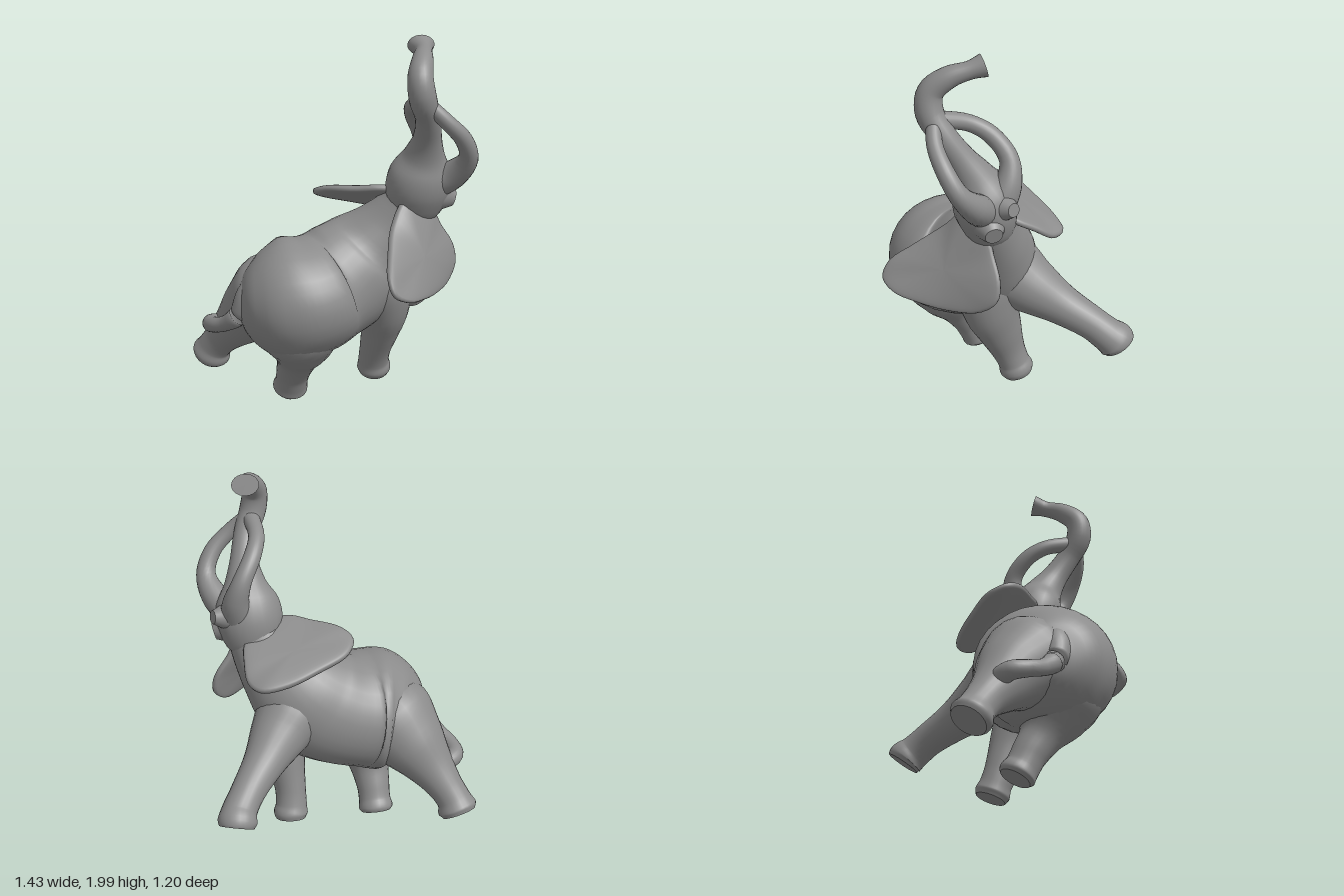
import * as THREE from 'three';

const V = (x, y, z) => new THREE.Vector3(x, y, z);
const material = new THREE.MeshStandardMaterial({ color: 0x8c8c8c });

function makeMesh(name, positions, index) {
  const g = new THREE.BufferGeometry();
  g.setAttribute('position', new THREE.Float32BufferAttribute(positions, 3));
  g.setIndex(index);
  g.computeVertexNormals();
  const mesh = new THREE.Mesh(g, material);
  mesh.name = name;
  return mesh;
}

// Smooth limb through sections [x, y, z, radiusAlongRef, otherRadius?], with flat end caps
function loft(name, sections, ref = V(1, 0, 0), sides = 24, perSection = 5) {
  const path = new THREE.CatmullRomCurve3(sections.map(s => V(s[0], s[1], s[2])));
  const radii = new THREE.CatmullRomCurve3(sections.map(s => V(s[3], s[4] ?? s[3], 0)), false, 'catmullrom');
  const steps = (sections.length - 1) * perSection;
  const pos = [], idx = [];
  for (let i = 0; i <= steps; i++) {
    const c = path.getPoint(i / steps), t = path.getTangent(i / steps), r = radii.getPoint(i / steps);
    const u = ref.clone().addScaledVector(t, -ref.dot(t)).normalize();
    const v = t.clone().cross(u);
    for (let j = 0; j < sides; j++) {
      const a = j / sides * Math.PI * 2;
      pos.push(...c.clone().addScaledVector(u, Math.cos(a) * r.x).addScaledVector(v, Math.sin(a) * r.y).toArray());
      if (i === steps) continue;
      const k = (j + 1) % sides, p = i * sides, q = p + sides;
      idx.push(p + j, p + k, q + k, p + j, q + k, q + j);
    }
  }
  for (const end of [0, 1]) {
    const from = end * steps * sides * 3, base = pos.length / 3;
    pos.push(...pos.slice(from, from + sides * 3));
    pos.push(...path.getPoint(end).toArray());
    for (let j = 0; j < sides; j++) {
      const k = (j + 1) % sides;
      idx.push(base + sides, base + (end ? j : k), base + (end ? k : j));
    }
  }
  return makeMesh(name, pos, idx);
}

// Thick leaf-like flap inside a closed outline, rounded at the rim
function flap(name, outline, thickness) {
  const n = 48, rings = 10;
  const curve = new THREE.CatmullRomCurve3(outline.map(p => V(...p)), true);
  const rim = Array.from({ length: n }, (_, i) => curve.getPoint(i / n));
  const centre = rim.reduce((s, p) => s.add(p), V(0, 0, 0)).divideScalar(n);
  const spokes = rim.map(p => p.clone().sub(centre));
  const normal = V(0, 0, 0);
  spokes.forEach((s, i) => normal.add(s.clone().cross(spokes[(i + 1) % n])));
  normal.normalize();
  const pos = [], idx = [];
  // Rings run from the middle of one face, over the rim, to the middle of the other
  for (let i = 0; i <= rings * 2; i++) {
    const a = i / (rings * 2) * Math.PI;
    const f = Math.max(Math.sin(a), 0.001);
    const h = Math.sign(Math.cos(a)) * Math.sqrt(Math.abs(Math.cos(a))) * thickness / 2;
    for (let j = 0; j < n; j++) {
      const warp = spokes[j].dot(normal) * (f * f - f);
      pos.push(...centre.clone().addScaledVector(spokes[j], f).addScaledVector(normal, h + warp).toArray());
      if (i === rings * 2) continue;
      const k = (j + 1) % n, p = i * n, q = p + n;
      idx.push(p + j, q + j, q + k, p + j, q + k, p + k);
    }
  }
  return makeMesh(name, pos, idx);
}

export function createModel() {
  const model = new THREE.Group();
  model.name = 'elephant';
  const alongZ = V(0, 0, 1);

  // Rump, belly, shoulders and neck
  model.add(loft('body', [
    [-0.55, 0.6, -0.04, 0.03, 0.03],
    [-0.51, 0.6, -0.03, 0.16, 0.15],
    [-0.42, 0.605, 0.0, 0.28, 0.26],
    [-0.3, 0.615, 0.03, 0.355, 0.325],
    [-0.18, 0.63, 0.035, 0.365, 0.315],
    [-0.06, 0.66, 0.01, 0.31, 0.305],
    [0.06, 0.72, 0.0, 0.275, 0.305],
    [0.17, 0.81, 0.0, 0.24, 0.275],
    [0.27, 0.93, 0.04, 0.185, 0.215],
    [0.35, 1.06, 0.09, 0.14, 0.165],
    [0.4, 1.18, 0.13, 0.12, 0.13],
  ], alongZ, 32));

  // Head running up into the raised trunk with its flared tip
  model.add(loft('headAndTrunk', [
    [0.37, 1.03, 0.1, 0.09],
    [0.385, 1.09, 0.115, 0.145, 0.13],
    [0.395, 1.19, 0.14, 0.175, 0.155],
    [0.4, 1.29, 0.17, 0.165, 0.145],
    [0.4, 1.38, 0.21, 0.11, 0.105],
    [0.39, 1.48, 0.27, 0.075, 0.075],
    [0.36, 1.6, 0.345, 0.065],
    [0.31, 1.71, 0.395, 0.07],
    [0.3, 1.81, 0.385, 0.065],
    [0.34, 1.885, 0.31, 0.055],
    [0.38, 1.92, 0.22, 0.045],
    [0.395, 1.94, 0.15, 0.07, 0.055],
  ]));

  // Open mouth
  model.add(loft('upperLip', [
    [0.44, 1.24, 0.12, 0.1],
    [0.54, 1.25, 0.1, 0.065],
    [0.6, 1.26, 0.085, 0.035],
  ], alongZ));
  model.add(loft('lowerLip', [
    [0.42, 1.18, 0.15, 0.12],
    [0.51, 1.15, 0.17, 0.085],
    [0.58, 1.13, 0.18, 0.045],
  ], alongZ));

  // Tusks curving up to meet the trunk
  model.add(loft('frontTusk', [
    [0.46, 1.22, 0.18, 0.09],
    [0.545, 1.28, 0.26, 0.075],
    [0.58, 1.38, 0.36, 0.052],
    [0.53, 1.49, 0.41, 0.045],
    [0.43, 1.59, 0.42, 0.04],
    [0.33, 1.69, 0.385, 0.035],
  ], alongZ));
  model.add(loft('backTusk', [
    [0.46, 1.22, 0.12, 0.1],
    [0.48, 1.34, 0.06, 0.07],
    [0.45, 1.46, 0.04, 0.05],
    [0.38, 1.57, 0.1, 0.045],
    [0.335, 1.635, 0.2, 0.042],
    [0.33, 1.68, 0.37, 0.045],
  ]));

  // Ears: one hanging forward, one spread back
  model.add(flap('frontEar', [
    [0.3, 1.15, 0.2], [0.2, 1.04, 0.28], [0.13, 0.93, 0.42], [0.085, 0.84, 0.54],
    [0.1, 0.76, 0.585], [0.19, 0.71, 0.56], [0.3, 0.685, 0.47], [0.41, 0.67, 0.36],
    [0.53, 0.69, 0.24], [0.6, 0.77, 0.17], [0.59, 0.87, 0.15], [0.52, 0.98, 0.15], [0.46, 1.08, 0.16],
  ], 0.06));
  model.add(flap('backEar', [
    [0.22, 1.2, 0.12], [0.08, 1.19, 0.05], [-0.05, 1.18, -0.05], [-0.095, 1.15, -0.13],
    [-0.04, 1.11, -0.22], [0.12, 1.06, -0.27], [0.3, 1.01, -0.3], [0.43, 0.99, -0.28],
    [0.48, 1.0, -0.2], [0.48, 1.06, -0.1], [0.44, 1.13, 0.03],
  ], 0.06));

  // Legs rooted deep in the body, each flaring into a flat-soled foot
  const legs = {
    frontLeftLeg: [
      [0.2, 0.82, 0.02, 0.13], [0.23, 0.68, 0.05, 0.16, 0.18], [0.25, 0.53, 0.04, 0.135, 0.155],
      [0.25, 0.39, -0.01, 0.105, 0.125], [0.24, 0.25, -0.065, 0.085, 0.095], [0.243, 0.16, -0.1, 0.085],
      [0.25, 0.115, -0.115, 0.093], [0.252, 0.085, -0.125, 0.08],
    ],
    frontRightLeg: [
      [0.14, 0.8, 0.04, 0.14], [0.22, 0.73, -0.06, 0.19], [0.32, 0.65, -0.16, 0.155],
      [0.43, 0.565, -0.28, 0.11], [0.54, 0.485, -0.4, 0.09], [0.6, 0.425, -0.47, 0.092],
      [0.62, 0.39, -0.51, 0.102], [0.627, 0.365, -0.525, 0.09],
    ],
    backLeftLeg: [
      [-0.26, 0.62, 0.06, 0.22], [-0.25, 0.5, 0.09, 0.245], [-0.235, 0.38, 0.06, 0.19],
      [-0.235, 0.27, 0.01, 0.115], [-0.24, 0.17, -0.05, 0.092], [-0.24, 0.1, -0.085, 0.088],
      [-0.24, 0.06, -0.11, 0.095], [-0.24, 0.04, -0.12, 0.08],
    ],
    backRightLeg: [
      [-0.24, 0.69, 0.04, 0.19], [-0.33, 0.6, -0.08, 0.245], [-0.41, 0.51, -0.18, 0.195],
      [-0.49, 0.4, -0.27, 0.135], [-0.55, 0.31, -0.345, 0.1], [-0.59, 0.24, -0.395, 0.093],
      [-0.605, 0.195, -0.42, 0.107], [-0.612, 0.17, -0.435, 0.092],
    ],
  };
  for (const [name, sections] of Object.entries(legs)) model.add(loft(name, sections));

  // Tail hooking round to the hind leg
  model.add(loft('tail', [
    [-0.42, 0.76, 0.02, 0.06],
    [-0.49, 0.65, 0.02, 0.075],
    [-0.54, 0.55, 0.0, 0.06],
    [-0.6, 0.48, -0.07, 0.043],
    [-0.645, 0.445, -0.16, 0.042],
    [-0.64, 0.425, -0.25, 0.048],
    [-0.54, 0.4, -0.3, 0.05],
  ], V(0.5, 0.7, 0.5).normalize()));

  return model;
}
